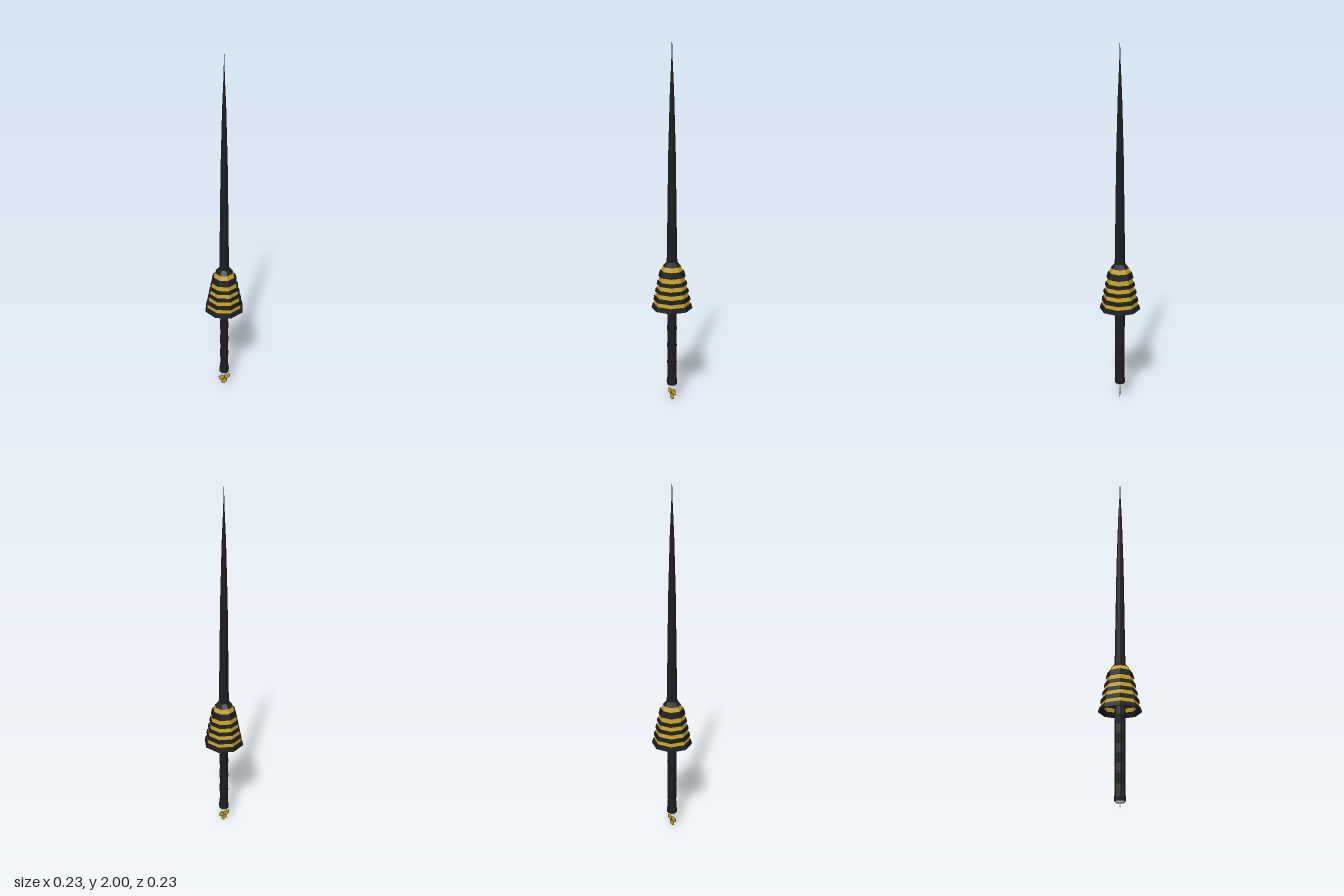
import * as THREE from 'three';

const SIDES = 8;
const mat = (color) => new THREE.MeshStandardMaterial({ color, flatShading: true, side: THREE.DoubleSide });

export function createModel() {
  const model = new THREE.Group();
  const black = mat(0x1d1d1f), yellow = mat(0xc4a228), grey = mat(0xcccccc);

  const add = (name, geometry, material, parent = model) => {
    const mesh = new THREE.Mesh(geometry, material);
    mesh.name = name;
    parent.add(mesh);
    return mesh;
  };
  // Eight-sided turned part from [radius, height] pairs
  const turned = (points) => new THREE.LatheGeometry(points.map(([r, y]) => new THREE.Vector2(r, y)), SIDES);

  // Long tapering needle blade
  add('blade', turned([[0.03, 0.8], [0.028, 0.84], [0.02, 1.4], [0.011, 1.72], [0.004, 1.87], [0, 2]]), black);

  // Hollow bell guard: alternating bands, the black ones standing slightly proud
  const guard = new THREE.Group();
  guard.name = 'guard';
  model.add(guard);
  const heights = [0.55, 0.575, 0.597, 0.619, 0.643, 0.662, 0.686, 0.705, 0.732, 0.764, 0.788, 0.812];
  const radii = [0.107, 0.1, 0.096, 0.092, 0.087, 0.083, 0.078, 0.074, 0.069, 0.06, 0.05, 0.03];
  for (let i = 0; i < heights.length - 1; i++) {
    const [y0, y1, r0, r1] = [heights[i], heights[i + 1], radii[i], radii[i + 1]];
    if (i % 2) {
      add('yellowBand', turned([[r0, y0], [r1, y1]]), yellow, guard);
    } else if (i === heights.length - 2) {
      add('guardCollar', turned([[r0, y0], [r1, y1], [0.026, y1]]), black, guard);
    } else {
      const out = 0.006;
      add('blackBand', turned([[r0 - 0.004, y0], [r0 + out, y0], [r1 + out, y1], [r1 - 0.004, y1], [r0 - 0.004, y0]]), black, guard);
    }
  }

  // Grip with shallow finger swells across its width
  const grip = turned(Array.from({ length: 28 }, (_, i) => [0.027, 0.13 + i * 0.0252]));
  const pos = grip.attributes.position;
  for (let i = 0; i < pos.count; i++) {
    const swell = Math.cos((pos.getY(i) - 0.13) * 2 * Math.PI / 0.1);
    pos.setX(i, pos.getX(i) * (0.9 + 0.1 * swell));
  }
  grip.computeVertexNormals();
  add('grip', grip, black);
  add('pommel', turned([[0, 0.098], [0.029, 0.098], [0.03, 0.115], [0.027, 0.131]]), black);
  add('pommelRing', turned([[0, 0.091], [0.024, 0.091], [0.026, 0.098]]), grey);

  // Flat honeycomb charm hanging on two cords
  const charm = new THREE.Group();
  charm.name = 'charm';
  model.add(charm);
  const R = 0.02, dx = R * Math.sqrt(3) / 2;
  for (const [x, y] of [[0, R], [-dx, 2.5 * R], [dx, 2.5 * R]]) {
    const cell = add('honeycombCell', new THREE.CircleGeometry(R * 0.88, 6, Math.PI / 2), yellow, charm);
    const rim = add('cellRim', new THREE.RingGeometry(R * 0.86, R, 6, 1, Math.PI / 2), black, charm);
    cell.position.set(x, y, 0);
    rim.position.set(x, y, 0);
  }
  for (const s of [-1, 1]) {
    const cord = add('cord', new THREE.CylinderGeometry(0.0015, 0.0015, 0.028, 4), grey, charm);
    cord.position.set(s * dx, 0.081, 0);
  }
  return model;
}
